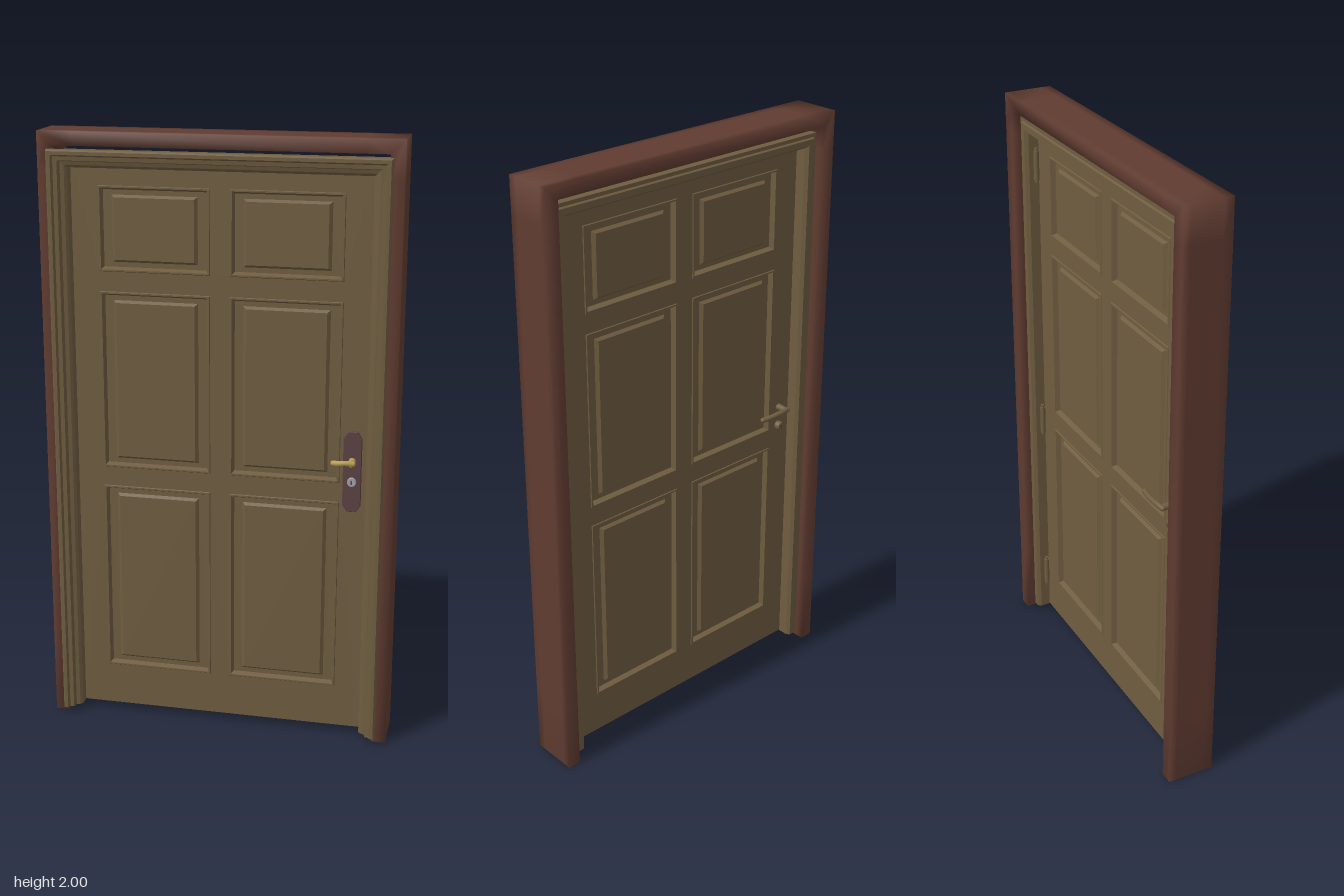
import * as THREE from 'three';
import { toCreasedNormals } from 'three/addons/utils/BufferGeometryUtils.js';

const material = (color, side = THREE.FrontSide) => new THREE.MeshStandardMaterial({ color, side });

// Sweeps a profile of [inset, z] points up, across and down a doorway with mitred corners.
function sweepDoorway(profile, halfWidth, y0, top) {
  const left = [
    d => [-halfWidth + d, y0],
    d => [-halfWidth + d, y0 + 0.25],
    d => [-halfWidth + d, top - 0.12],
    d => [-halfWidth + d, top - d],
    d => [-halfWidth + 0.12, top - d],
  ];
  const right = left.map(f => d => [-f(d)[0], f(d)[1]]).reverse();
  const rings = [...left, ...right];
  const n = profile.length;
  const pos = [], index = [];
  for (const ring of rings) for (const [d, z] of profile) pos.push(...ring(d), z);
  for (let r = 0; r < rings.length - 1; r++) {
    for (let i = 0; i < n; i++) {
      const j = (i + 1) % n;
      const a = r * n + i, b = r * n + j, c = b + n, e = a + n;
      index.push(a, b, c, a, c, e);
    }
  }
  // Feet, both facing down
  const points = profile.map(([d, z]) => new THREE.Vector2(d, z));
  const last = (rings.length - 1) * n;
  for (let [a, b, c] of THREE.ShapeUtils.triangulateShape(points, [])) {
    const area = THREE.ShapeUtils.area([points[a], points[b], points[c]]);
    if (area < 0) [b, c] = [c, b];
    index.push(a, b, c, last + a, last + c, last + b);
  }
  const geo = new THREE.BufferGeometry();
  geo.setAttribute('position', new THREE.Float32BufferAttribute(pos, 3));
  geo.setIndex(index);
  geo.computeVertexNormals();
  return geo;
}

// Moulded panel: nested rectangles [insetX, insetY, z], closed by a raised field.
function panelGeometry(w, h, steps) {
  const pos = [], index = [];
  for (const [ix, iy, z] of steps) {
    const x = w / 2 - ix, y = h / 2 - iy;
    pos.push(-x, -y, z, x, -y, z, x, y, z, -x, y, z);
  }
  for (let s = 0; s < steps.length - 1; s++) {
    for (let i = 0; i < 4; i++) {
      const a = s * 4 + i, b = s * 4 + (i + 1) % 4;
      index.push(a, b, b + 4, a, b + 4, a + 4);
    }
  }
  const f = (steps.length - 1) * 4;
  index.push(f, f + 1, f + 2, f, f + 2, f + 3);
  const geo = new THREE.BufferGeometry();
  geo.setAttribute('position', new THREE.Float32BufferAttribute(pos, 3));
  geo.setIndex(index);
  const flat = geo.toNonIndexed();
  flat.computeVertexNormals();
  return flat;
}

function rectPath(target, x0, x1, y0, y1) {
  target.moveTo(x0, y0).lineTo(x1, y0).lineTo(x1, y1).lineTo(x0, y1).closePath();
  return target;
}

export function createModel() {
  const model = new THREE.Group();
  model.name = 'door';
  const wood = material(0x6f5d40);
  const redWood = material(0x603c31);
  const plateMat = material(0x5b4242);
  const brass = material(0xb59c50);
  const steel = material(0xa0a0a8);

  const add = (parent, name, geo, mat, x = 0, y = 0, z = 0) => {
    const mesh = new THREE.Mesh(geo, mat);
    mesh.name = name;
    mesh.position.set(x, y, z);
    parent.add(mesh);
    return mesh;
  };

  // Outer frame, softly shaded
  const frameProfile = [
    [0, -0.095], [0, -0.07], [0, 0.035], [0, 0.065],
    [0.045, 0.065], [0.045, 0.035], [0.045, -0.07], [0.045, -0.095],
  ];
  add(model, 'outerFrame', sweepDoorway(frameProfile, 0.577, 0, 2), redWood);

  // Stepped casing inside the frame, lapping over its front
  const casingProfile = [
    [0, 0.066], [0, 0.084], [0.005, 0.09], [0.016, 0.09], [0.021, 0.08], [0.034, 0.078],
    [0.038, 0.06], [0.05, 0.056], [0.058, 0.048], [0.058, -0.058], [0.05, -0.07],
    [0.03, -0.07], [0.026, -0.064], [0.014, -0.064], [0.014, 0.066],
  ];
  add(model, 'casing', toCreasedNormals(sweepDoorway(casingProfile, 0.543, 0.02, 1.945), 0.4), wood);

  // Door leaf with six openings
  const leaf = new THREE.Group();
  leaf.name = 'doorLeaf';
  leaf.position.z = -0.0025;
  model.add(leaf);
  const half = 0.0225;
  const rows = [[0.17, 0.83], [0.895, 1.49], [1.555, 1.83]];
  const shape = rectPath(new THREE.Shape(), -0.483, 0.482, 0.025, 1.895);
  const openings = [];
  for (const [y0, y1] of rows) {
    for (const [x0, x1] of [[-0.396, -0.032], [0.032, 0.396]]) {
      openings.push([x0, x1, y0, y1]);
      shape.holes.push(rectPath(new THREE.Path(), x0, x1, y0, y1));
    }
  }
  const slab = new THREE.ExtrudeGeometry(shape, { depth: half * 2, bevelEnabled: false });
  add(leaf, 'stilesAndRails', slab, wood, 0, 0, -half);

  // Raised panels on both faces
  const steps = [
    [0, 0, half], [0.002, 0.002, half + 0.003], [0.007, 0.007, half + 0.003],
    [0.014, 0.014, 0.009], [0.042, 0.03, 0.009], [0.052, 0.038, half - 0.004],
  ];
  for (const turn of [0, Math.PI]) {
    const face = new THREE.Group();
    face.name = turn ? 'backPanels' : 'frontPanels';
    face.rotation.y = turn;
    leaf.add(face);
    for (const [x0, x1, y0, y1] of openings) {
      add(face, 'panel', panelGeometry(x1 - x0, y1 - y0, steps), wood, (x0 + x1) / 2, (y0 + y1) / 2);
    }
  }

  // Lever, neck and lock cylinder for one face
  const addLever = (name, turn, leverMat, lockMat, length) => {
    const handle = new THREE.Group();
    handle.name = name;
    handle.rotation.y = turn;
    handle.position.z = turn ? -0.025 : 0.02;
    model.add(handle);
    const neck = new THREE.CylinderGeometry(0.01, 0.012, 0.042, 16).rotateX(Math.PI / 2);
    add(handle, 'leverNeck', neck, leverMat, 0.437, 0.975, 0.021);
    const path = new THREE.CatmullRomCurve3([
      new THREE.Vector3(0.443, 0.975, 0.038), new THREE.Vector3(0.42, 0.977, 0.042),
      new THREE.Vector3(0.437 - length * 0.7, 0.975, 0.042), new THREE.Vector3(0.437 - length, 0.973, 0.036),
    ]);
    add(handle, 'lever', new THREE.TubeGeometry(path, 16, 0.009, 10), leverMat);
    for (const p of [0, 1]) {
      const end = path.getPoint(p);
      add(handle, 'leverEnd', new THREE.SphereGeometry(0.009, 10, 8), leverMat, end.x, end.y, end.z);
    }
    const lock = new THREE.CylinderGeometry(0.014, 0.016, 0.018, 20).rotateX(Math.PI / 2);
    add(handle, 'lockCylinder', lock, lockMat, 0.437, 0.905, 0.009);
    add(handle, 'keySlot', new THREE.BoxGeometry(0.004, 0.014, 0.002), plateMat, 0.437, 0.905, 0.0185);
    return handle;
  };

  // Front handle on a long plate with clipped corners
  const front = addLever('frontHandle', 0, brass, steel, 0.058);
  const plate = new THREE.Shape();
  plate.moveTo(-0.014, -0.134).lineTo(0.014, -0.134).lineTo(0.028, -0.112).lineTo(0.028, 0.112)
    .lineTo(0.014, 0.134).lineTo(-0.014, 0.134).lineTo(-0.028, 0.112).lineTo(-0.028, -0.112).closePath();
  const plateGeo = new THREE.ExtrudeGeometry(plate, {
    depth: 0.006, bevelSize: 0.002, bevelThickness: 0.003, bevelSegments: 1,
  });
  add(front, 'handlePlate', plateGeo, plateMat, 0.437, 0.937, 0);

  // Plain back handle
  addLever('backHandle', Math.PI, wood, wood, 0.11);

  // Hinges
  for (const y of [0.18, 0.83, 1.775]) {
    const hinge = new THREE.Group();
    hinge.name = 'hinge';
    hinge.position.set(0.481, y, -0.034);
    model.add(hinge);
    add(hinge, 'hingeBarrel', new THREE.CylinderGeometry(0.009, 0.009, 0.1, 14), wood);
    add(hinge, 'hingeLeaf', new THREE.BoxGeometry(0.004, 0.1, 0.04), wood, 0.002, 0, 0.018);
    for (const s of [-1, 1]) {
      add(hinge, 'hingeCap', new THREE.CylinderGeometry(0.006, 0.006, 0.01, 12), wood, 0, s * 0.054, 0);
    }
  }

  return model;
}
